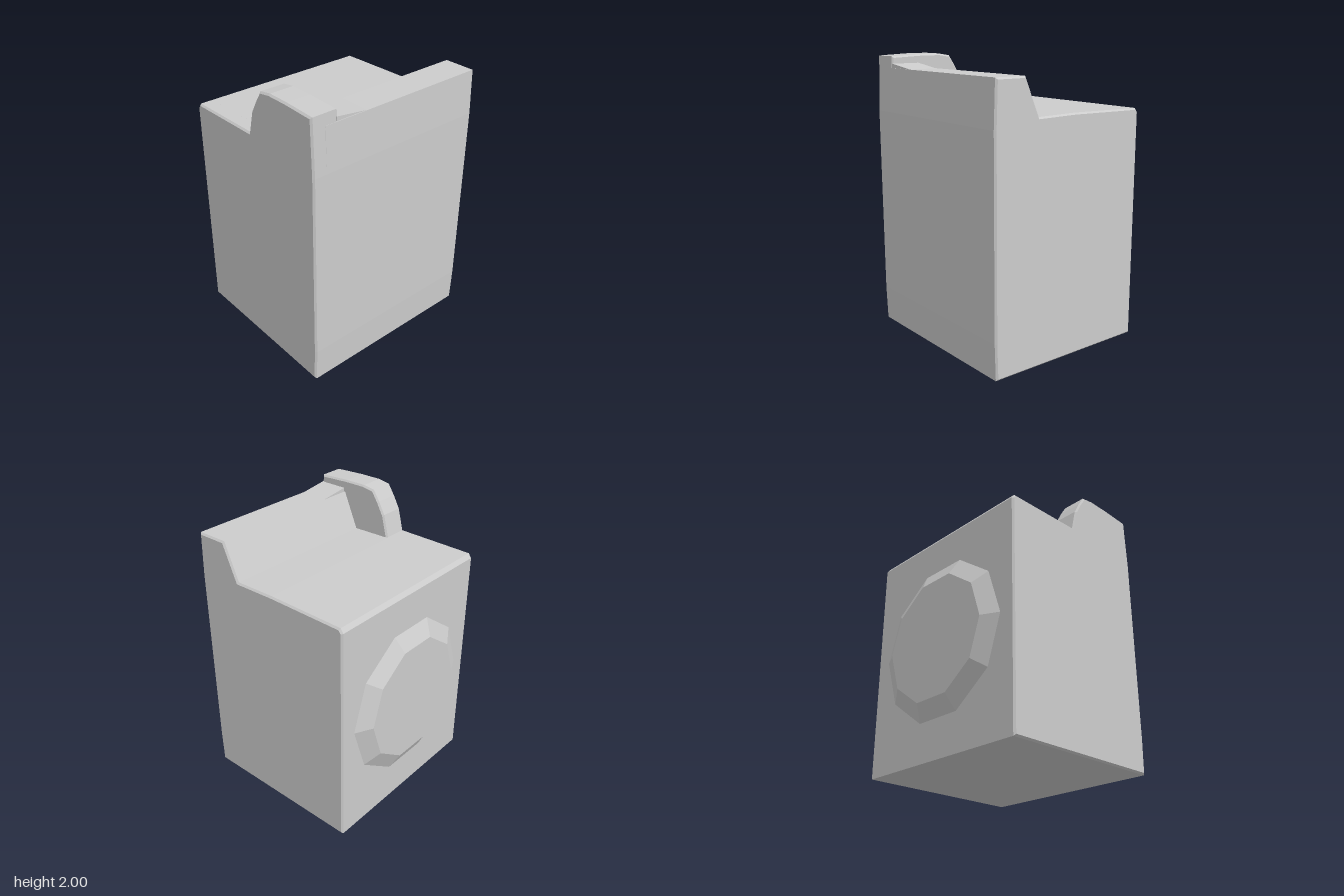
import * as THREE from 'three';

const grey = new THREE.MeshStandardMaterial({ color: 0xcccccc });
grey.name = 'grey';

function addPart(group, name, geometry) {
  const flat = geometry.index ? geometry.toNonIndexed() : geometry;
  flat.computeVertexNormals(); // one normal per face for the faceted style
  const mesh = new THREE.Mesh(flat, grey);
  mesh.name = name;
  group.add(mesh);
  return mesh;
}

// Extrudes an x/y outline from z0 to z1 with a thin chamfer kept inside the outline
function slab(points, z0, z1, bevel) {
  const shape = new THREE.Shape(points.map(([x, y]) => new THREE.Vector2(x, y)));
  const geometry = new THREE.ExtrudeGeometry(shape, {
    depth: z1 - z0 - 2 * bevel,
    bevelEnabled: bevel > 0,
    bevelThickness: bevel,
    bevelSize: bevel,
    bevelOffset: -bevel,
    bevelSegments: 1,
  });
  return geometry.translate(0, 0, z0 + bevel);
}

export function createModel() {
  const group = new THREE.Group();

  // Cabinet with the sloped control ledge along its +x edge
  const cabinet = [
    [-0.59, 0], [0.64, 0], [0.648, 0.25], [0.648, 1.6], [0.637, 1.91],
    [0.41, 1.91], [0.3, 1.655], [0, 1.66], [-0.57, 1.65], [-0.592, 1.62],
  ];
  addPart(group, 'cabinet', slab(cabinet, -0.69, 0.6, 0.012));

  // Front section, rising to the curved end cap of the ledge
  const frontSection = [
    [-0.59, 0], [0.64, 0], [0.648, 0.25], [0.648, 1.6], [0.632, 1.99],
    [0.4, 2], [0.24, 2], [0.15, 1.985], [0.1, 1.91], [0.05, 1.82], [0.01, 1.66],
    [-0.57, 1.65], [-0.592, 1.62],
  ];
  addPart(group, 'frontSection', slab(frontSection, 0.495, 0.69, 0.012));

  // Shallow wedge where the ledge climbs to the end cap
  const wedge = slab([[-0.5, 1.9], [-0.27, 1.9], [-0.27, 1.91], [-0.5, 1.94]], 0.42, 0.632, 0);
  // Turn the outline from x/y to z/y
  wedge.rotateY(Math.PI / 2);
  wedge.scale(1, 1, 1);
  addPart(group, 'ledgeWedge', wedge);

  // Round faceted door, shallow and tapered, on the -x side
  const door = new THREE.CylinderGeometry(0.45, 0.58, 0.066, 10);
  door.rotateZ(Math.PI / 2);
  addPart(group, 'door', door).position.set(-0.62, 0.82, 0);

  return group;
}
